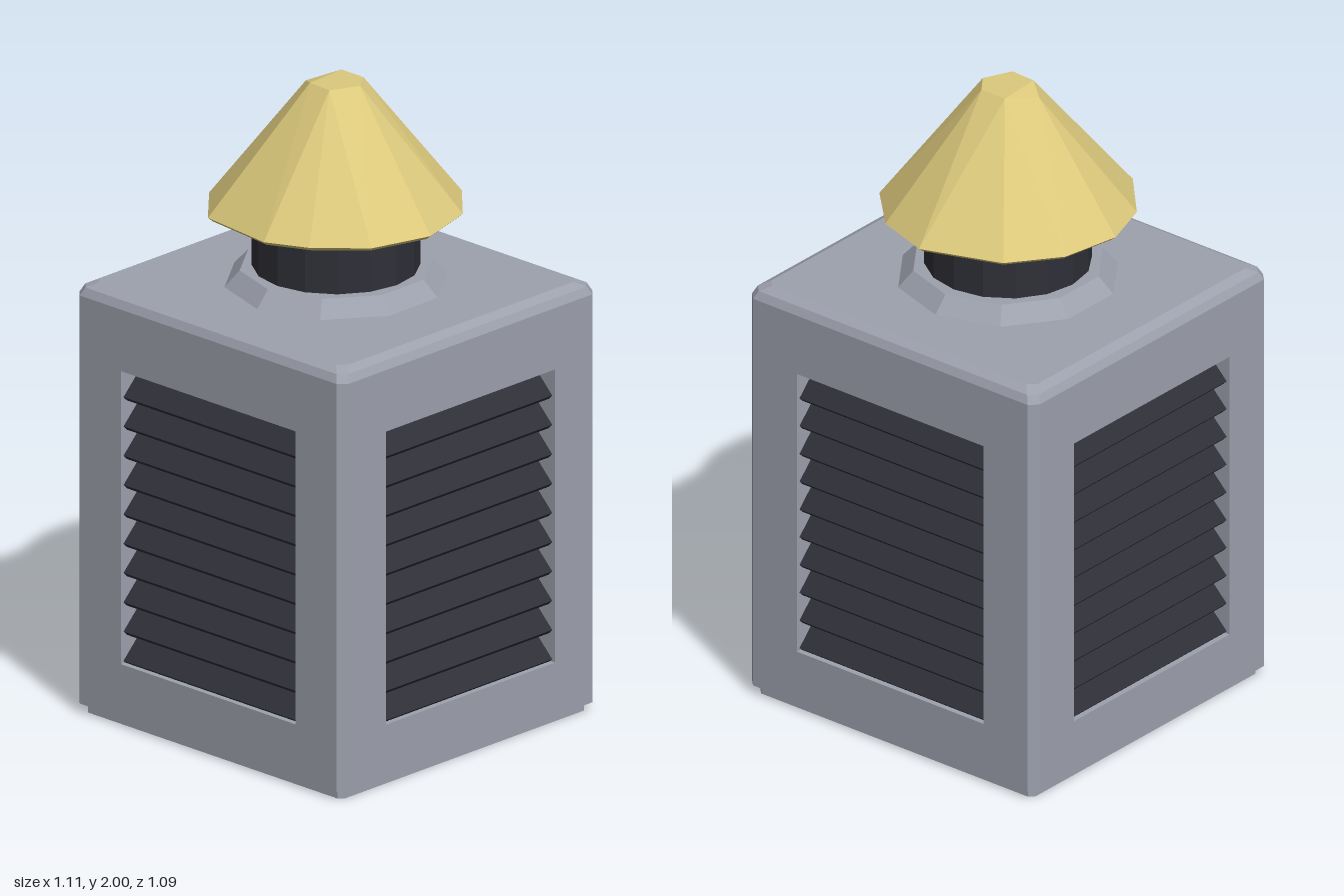
import * as THREE from 'three';
import { ConvexGeometry } from 'three/addons/geometries/ConvexGeometry.js';

const HX = 0.555, HZ = 0.545;      // half width and depth of the housing
const SILL = 0.2, LINTEL = 1.13;   // window bottom and top
const OPEN = 0.36;                 // window half width
const CH = 0.025;                  // edge chamfer

const material = (name, color) => {
  const m = new THREE.MeshStandardMaterial({ color, flatShading: true });
  m.name = name;
  return m;
};

// Extrudes a list of [x, z] corners upwards from y0 to y1.
function prism(corners, y0, y1) {
  const shape = new THREE.Shape(corners.map(([x, z]) => new THREE.Vector2(x, -z)));
  const geo = new THREE.ExtrudeGeometry(shape, { depth: y1 - y0, bevelEnabled: false });
  return geo.rotateX(-Math.PI / 2).translate(0, y0, 0);
}

// Rectangle with cut corners.
const cutRect = (x, z, c) => [
  [x - c, z], [x, z - c], [x, c - z], [x - c, -z],
  [c - x, -z], [-x, c - z], [-x, z - c], [c - x, z],
];

export function createModel() {
  const root = new THREE.Group();
  root.name = 'ventedLantern';
  const grey = material('grey housing', 0x9da1ad);
  const dark = material('dark metal', 0x2f2f38);
  const gold = material('gold cap', 0xdcc97c);

  const add = (name, geo, mat, parent = root) => {
    const mesh = new THREE.Mesh(geo, mat);
    mesh.name = name;
    parent.add(mesh);
    return mesh;
  };

  // Base plate and solid bands below and above the windows
  add('basePlate', prism(cutRect(0.53, 0.525, 0.015), 0, 0.04), grey);
  add('lowerBand', prism(cutRect(HX, HZ, CH), 0.03, SILL), grey);
  add('upperBand', prism(cutRect(HX, HZ, CH), LINTEL, 1.325), grey);

  // Lid with sloping edges
  const lidPoints = [];
  for (const [inset, y] of [[0, 1.325], [0.012, 1.35], [0.04, 1.365]]) {
    for (const [x, z] of cutRect(HX - inset, HZ - inset, CH)) lidPoints.push(new THREE.Vector3(x, y, z));
  }
  add('lid', new ConvexGeometry(lidPoints), grey);

  // Corner posts between the windows
  for (const sx of [-1, 1]) for (const sz of [-1, 1]) {
    const corners = [[OPEN, OPEN], [HX, OPEN], [HX, HZ - CH], [HX - CH, HZ], [OPEN, HZ]]
      .map(([x, z]) => [x * sx, z * sz]);
    add('cornerPost', prism(corners, SILL, LINTEL), grey);
  }

  // Sloping louvres on all four sides
  const COUNT = 10, pitch = (LINTEL - SILL) / COUNT;
  const slat = new THREE.BoxGeometry(2 * OPEN + 0.01, 0.02, 0.13).rotateX(Math.PI / 4);
  ['front', 'left', 'back', 'right'].forEach((side, i) => {
    const louvre = new THREE.Group();
    louvre.name = side + 'Louvre';
    louvre.rotation.y = i * Math.PI / 2;
    for (let k = 0; k < COUNT; k++) {
      add('slat', slat, dark, louvre)
        .position.set(0, SILL + (k + 0.5) * pitch, (i % 2 ? HX : HZ) - 0.064);
    }
    root.add(louvre);
  });

  // Faceted collar and neck
  add('collar', new THREE.CylinderGeometry(0.29, 0.345, 0.06, 10).translate(0, 1.385, 0), grey);
  add('neck', new THREE.CylinderGeometry(0.25, 0.25, 0.22, 16).translate(0, 1.5, 0), dark);

  // Hand-cut conical cap: uneven rim and small six-sided top
  const rim = [
    [0.01, -0.4], [0.19, -0.34], [0.33, -0.2], [0.39, 0], [0.335, 0.195], [0.2, 0.32],
    [0.07, 0.38], [-0.19, 0.35], [-0.335, 0.195], [-0.39, 0.03], [-0.355, -0.16], [-0.24, -0.31],
  ];
  const tip = [[-0.05, -0.075], [0.04, -0.075], [0.085, -0.015], [0.045, 0.075], [-0.04, 0.07], [-0.1, 0.025]];
  const capPoints = [
    ...rim.map(([x, z]) => new THREE.Vector3(x, 1.608, z)),
    ...rim.map(([x, z]) => new THREE.Vector3(x * 0.96, 1.595, z * 0.96)),
    ...tip.map(([x, z], i) => new THREE.Vector3(x, i === 5 ? 1.98 : 2, z)),
  ];
  add('cap', new ConvexGeometry(capPoints), gold);

  return root;
}
